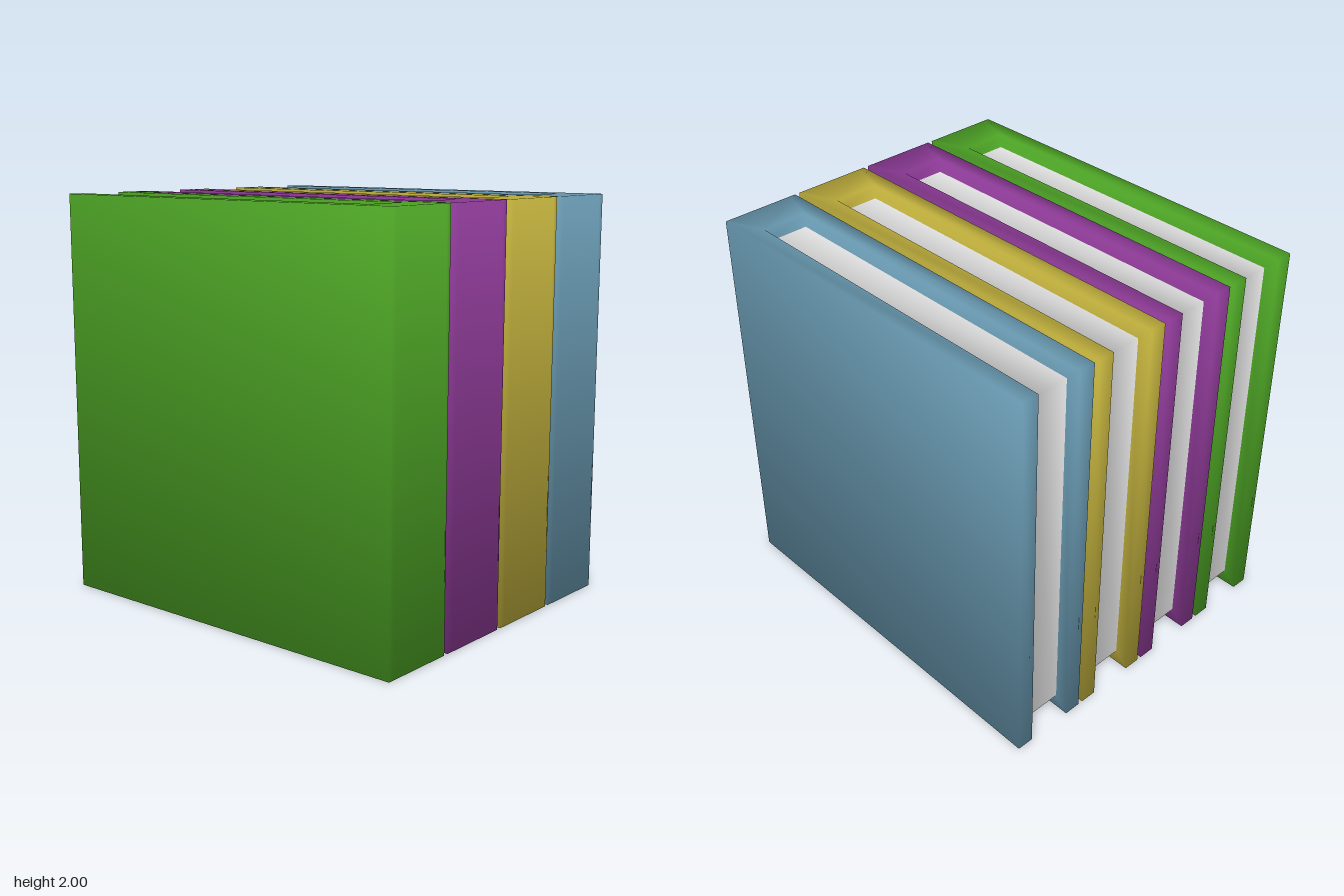
import * as THREE from 'three';

const HALF = 0.2, INNER = 0.115, SOFT = 0.17;   // half widths: cover, page block, spine flat
const HEIGHT = 2, RECESS = 0.07, SPINE_Z = 0.81;

// Plan of one book: 10 points round the U-shaped cover, then 4 corners of the page block
const plan = [
  [-HALF, -1], [-HALF, 1], [-SOFT, 1], [SOFT, 1], [HALF, 1], [HALF, -1],
  [INNER, -1], [INNER, SPINE_Z], [-INNER, SPINE_Z], [-INNER, -1],
  [-INNER, -1 + RECESS], [-INNER, SPINE_Z], [INNER, SPINE_Z], [INNER, -1 + RECESS],
];
const N = plan.length;

// Smooth normals weighted by the corner angle of each triangle
function smoothNormals(points, index) {
  const normals = points.map(() => new THREE.Vector3());
  for (let t = 0; t < index.length; t += 3) {
    const ids = index.slice(t, t + 3);
    const face = new THREE.Triangle(...ids.map((i) => points[i])).getNormal(new THREE.Vector3());
    ids.forEach((id, k) => {
      const u = points[ids[(k + 1) % 3]].clone().sub(points[id]);
      const v = points[ids[(k + 2) % 3]].clone().sub(points[id]);
      normals[id].addScaledVector(face, u.angleTo(v));
    });
  }
  return normals.map((n) => n.normalize());
}

function bookGeometry() {
  // Top level points, then the matching bottom level
  const points = [];
  for (const top of [true, false]) {
    plan.forEach(([x, z], i) => {
      const inset = i >= 10 ? RECESS : 0;
      points.push(new THREE.Vector3(x, top ? HEIGHT - inset : inset, z));
    });
  }

  const cover = [], pages = [];
  const add = (list, ids) => {
    for (let k = 1; k < ids.length - 1; k++) list.push(ids[0], ids[k], ids[k + 1]);
  };
  const addBothEnds = (list, ids) => {
    add(list, ids);
    add(list, ids.map((i) => i + N).reverse());
  };
  const addWall = (list, i, j) => add(list, [i, i + N, j + N, j]);

  // Cover edges at top and bottom, with the lip that runs down to the pages
  [[0, 1, 8, 9], [1, 2, 8], [2, 3, 7, 8], [3, 4, 7], [4, 5, 6, 7],
    [9, 8, 11, 10], [8, 7, 12, 11], [7, 6, 13, 12]].forEach((f) => addBothEnds(cover, f));
  // Outer boards, spine, back edges and the inner lips at the back
  [[0, 1], [1, 2], [2, 3], [3, 4], [4, 5], [5, 6], [9, 0], [10, 9], [6, 13]]
    .forEach(([i, j]) => addWall(cover, i, j));
  // Page block
  addBothEnds(pages, [10, 11, 12, 13]);
  addWall(pages, 13, 10);

  const index = [...cover, ...pages];
  const geometry = new THREE.BufferGeometry().setFromPoints(points);
  const normals = smoothNormals(points, index).flatMap((n) => n.toArray());
  geometry.setAttribute('normal', new THREE.Float32BufferAttribute(normals, 3));
  geometry.setIndex(index);
  geometry.addGroup(0, cover.length, 0);
  geometry.addGroup(cover.length, pages.length, 1);
  return geometry;
}

function material(name, color) {
  const m = new THREE.MeshStandardMaterial({ color });
  m.name = name;
  return m;
}

export function createModel() {
  const group = new THREE.Group();
  group.name = 'bookRow';
  const paper = material('paper', 0xdcdcdc);
  const geometry = bookGeometry();
  const books = [['green', 0x4ba024], ['purple', 0x893892], ['yellow', 0xb9a93a], ['blue', 0x6594ab]];

  // Four upright books side by side with narrow gaps
  books.forEach(([name, color], i) => {
    const book = new THREE.Mesh(geometry, [material(`${name} cover`, color), paper]);
    book.name = `${name}Book`;
    book.position.x = (i - 1.5) * 0.4255;
    group.add(book);
  });
  return group;
}
